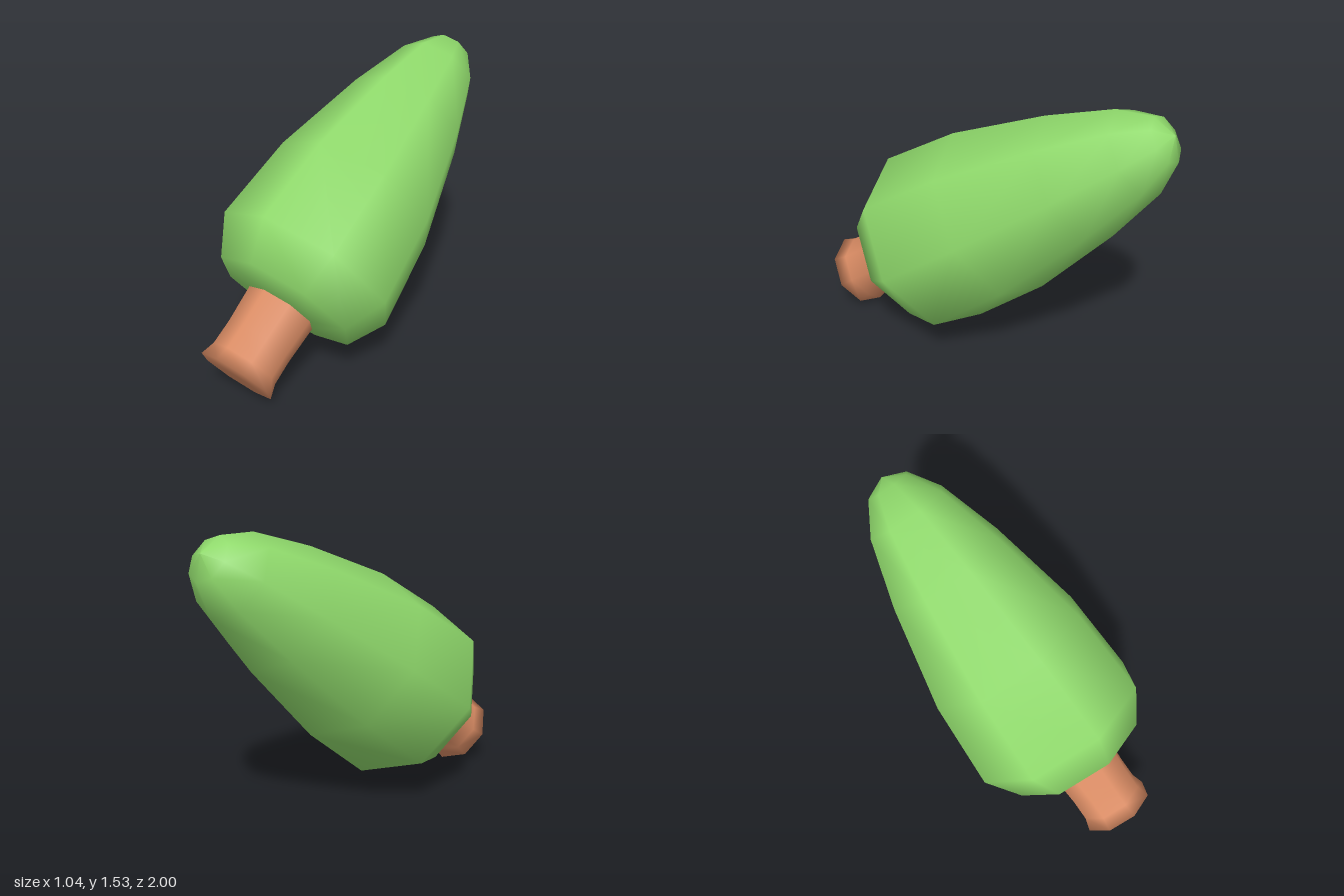
import * as THREE from 'three';

// Eight-sided turned part from [radius, height] pairs, listed bottom to top
function turned(name, profile, color) {
  const points = profile.map(([r, h]) => new THREE.Vector2(r, h));
  const mesh = new THREE.Mesh(
    new THREE.LatheGeometry(points, 8),
    new THREE.MeshStandardMaterial({ color })
  );
  mesh.name = name;
  return mesh;
}

export function createModel() {
  const tree = new THREE.Group();
  tree.name = 'tiltedTree';

  // Trunk: waisted, flared at the foot, running up into the foliage
  tree.add(turned('trunk', [
    [0, 0], [0.21, 0], [0.188, 0.075], [0.186, 0.205], [0.197, 0.41], [0.197, 0.5],
  ], 0xda8c64));

  // Foliage: tall rounded cone with a shallow underside
  tree.add(turned('foliage', [
    [0, 0.4], [0.19, 0.41], [0.4, 0.45], [0.518, 0.655], [0.477, 1.148],
    [0.346, 1.7], [0.23, 2.05], [0.122, 2.21], [0, 2.26],
  ], 0x8fd96b));

  // Whole tree leans backwards with its foot at the front
  tree.rotation.x = THREE.MathUtils.degToRad(-55.2);
  tree.position.set(0, 0.175, 0.88);

  const model = new THREE.Group();
  model.name = 'model';
  model.add(tree);
  return model;
}
